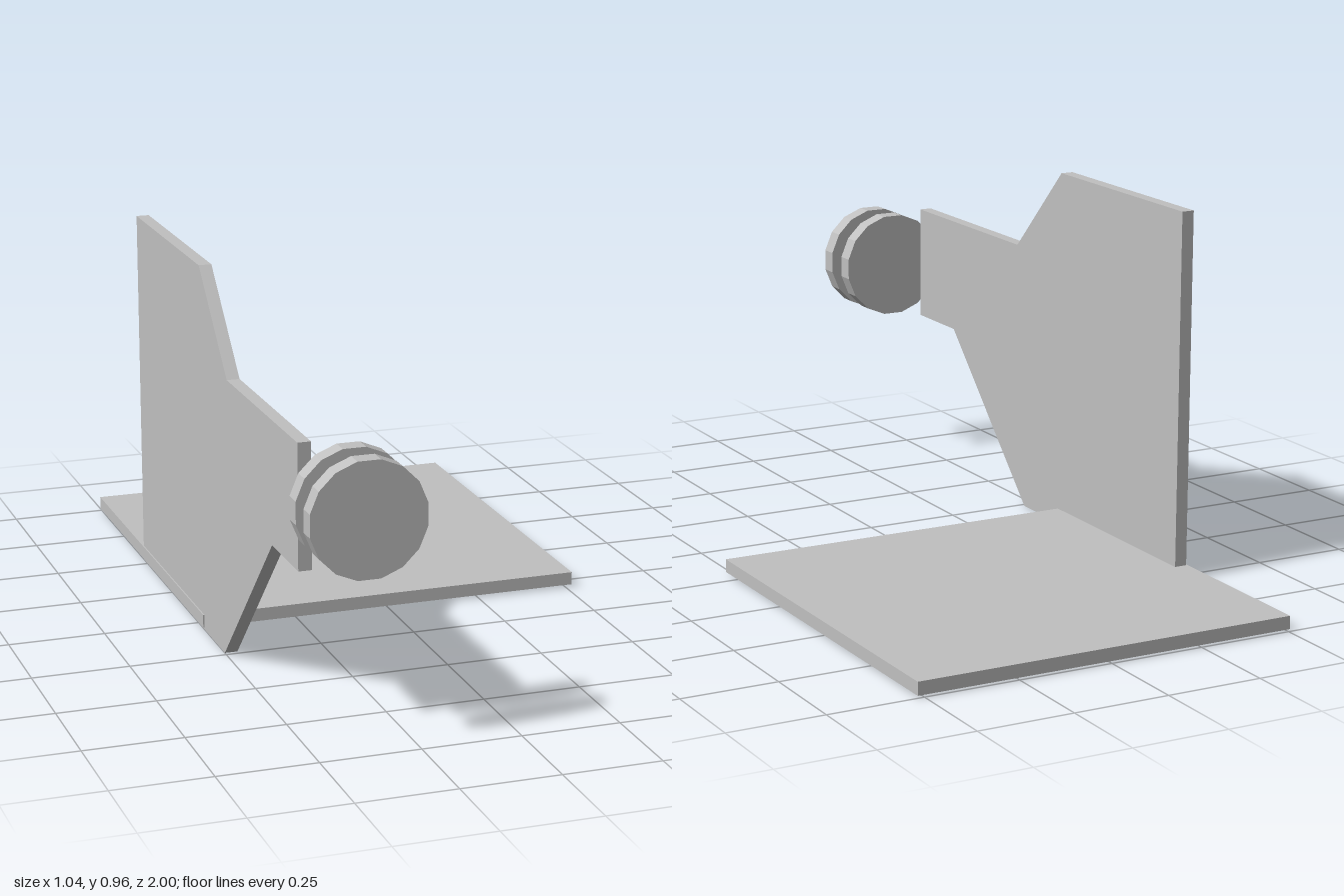
import * as THREE from 'three';

export function createModel() {
  const model = new THREE.Group();
  const grey = new THREE.MeshStandardMaterial({ color: 0xc0c0c0, flatShading: true });
  grey.name = 'plain grey';

  const add = (name, geometry, x, y, z) => {
    const mesh = new THREE.Mesh(geometry, grey);
    mesh.name = name;
    mesh.position.set(x, y, z);
    model.add(mesh);
  };

  // Thin horizontal plate
  add('basePlate', new THREE.BoxGeometry(1.021, 0.034, 1.055), 0.007, 0.023, -0.4725);

  // Upright side panel with a forward arm, profile as (z, y)
  const profile = [
    [0.85, 0.415], [0.85, 0.725], [0.287, 0.725], [0.055, 0.96],
    [-0.537, 0.96], [-0.537, 0], [0.237, 0], [0.648, 0.415],
  ].map(([z, y]) => new THREE.Vector2(z, y));
  const panel = new THREE.ExtrudeGeometry(new THREE.Shape(profile), { depth: 0.033, bevelEnabled: false });
  panel.rotateY(-Math.PI / 2);
  add('sidePanel', panel, -0.467, 0, 0);

  // Two separate sixteen-sided discs at the end of the arm
  const disc = new THREE.CylinderGeometry(0.1445, 0.1445, 0.046, 16, 1, false, Math.PI / 16);
  disc.rotateX(Math.PI / 2);
  add('rearDisc', disc, -0.378, 0.572, 0.873);
  add('frontDisc', disc, -0.378, 0.572, 0.977);

  return model;
}
